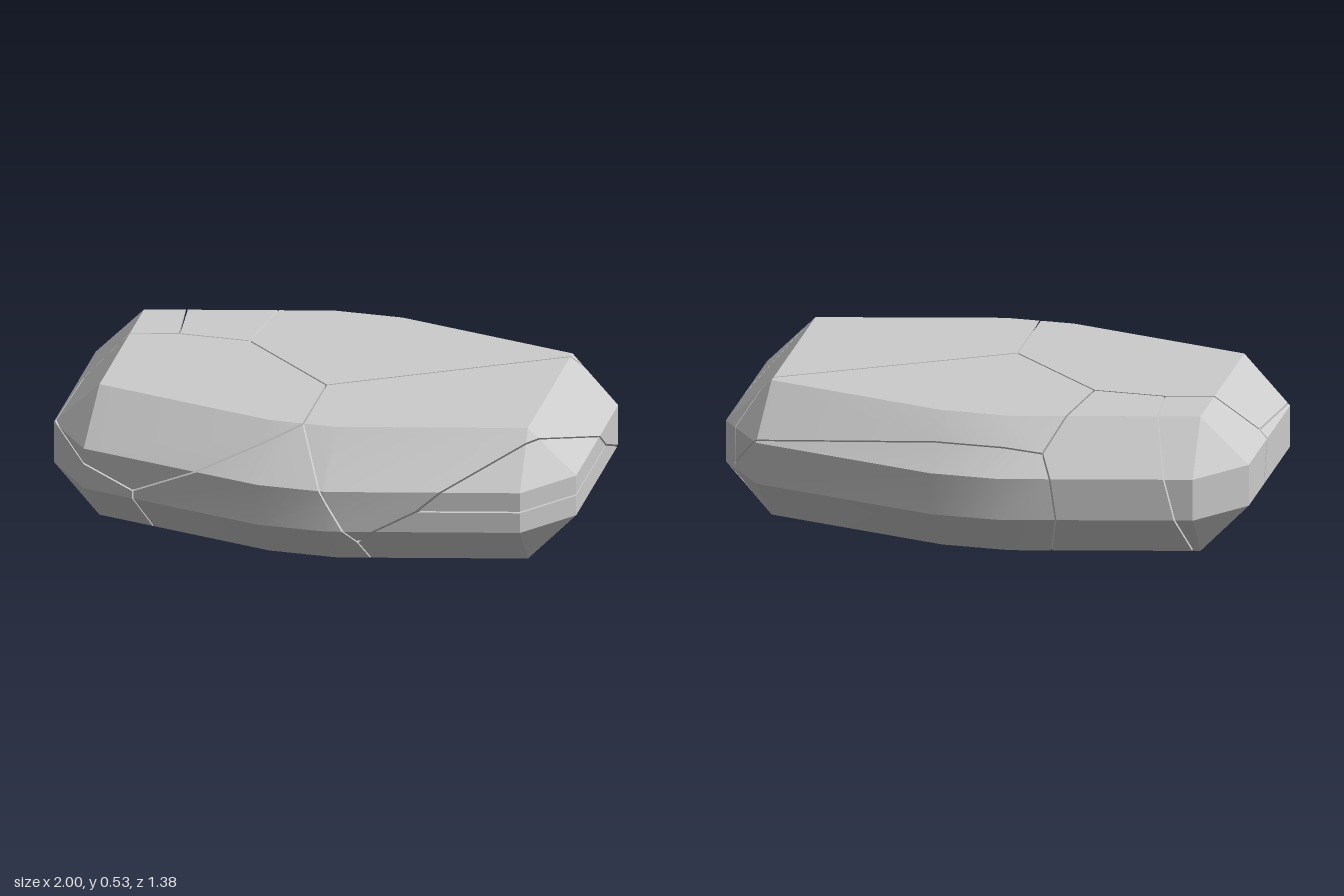
import * as THREE from 'three';
import { toCreasedNormals } from 'three/addons/utils/BufferGeometryUtils.js';

const HALF_GAP = 0.003;

// Each fragment owns the region where its linear field a*x + b*y + c*z + d is the largest.
const FRAGMENTS = {
  topFrontLeftFragment: [0, 0, 0, 0],
  topFrontRightFragment: [1, -0.1, 0, 0.053],
  topBackRightFragment: [0.6, -0.1, -0.705, 0.159],
  backMiddleFragment: [0, -0.35, -0.78, 0.057],
  backLeftFragment: [-0.174, -0.307, -0.76, -0.074],
  lowerBackFragment: [0.6, -0.44, -1.075, 0.087],
  lowerFrontFragment: [0.25, -0.505, 0.032, 0.252],
  lowerLeftFragment: [-0.167, -0.51, -0.043, 0.031],
  lowerRightFragment: [1.22, -0.444, 0.158, -0.052],
  rightWedgeFragment: [1.22, -0.304, 0.158, -0.09],
};

// Mirror one quarter outline into a full loop, front to +x to back to -x
function ring(quarter, y) {
  const right = [...quarter, ...quarter.map(([x, z]) => [x, -z]).reverse()];
  const loop = [...right, ...right.map(([x, z]) => [-x, z]).reverse()];
  return loop.map(([x, z]) => new THREE.Vector3(x, y, z));
}

// Drop repeated corners
function clean(points) {
  return points.filter((p, i) => p.distanceTo(points[(i + 1) % points.length]) > 1e-5);
}

// Whole stone: straight girdle with bevels to a smaller top and bottom
function stoneFaces() {
  const girdle = [[0.13, 0.692], [0.835, 0.53], [1, 0.325]];
  const flat = [[0.13, 0.505], [0.82, 0.345], [0.82, 0.345]];
  const rings = [ring(flat, 0), ring(girdle, 0.188), ring(girdle, 0.35), ring(flat, 0.533)];
  const faces = [clean(rings[3]), clean(rings[0]).reverse()];
  for (let r = 0; r < 3; r++) {
    const lo = rings[r], hi = rings[r + 1];
    for (let i = 0; i < lo.length; i++) {
      const j = (i + 1) % lo.length;
      const face = clean([lo[i], lo[j], hi[j], hi[i]]);
      if (face.length > 2) faces.push(face);
    }
  }
  return faces;
}

// Cut a convex solid, keep the part behind the plane and close the cut
function cut(faces, plane) {
  const kept = [], rim = [];
  for (const face of faces) {
    const out = [];
    face.forEach((p, i) => {
      const q = face[(i + 1) % face.length];
      const dp = plane.distanceToPoint(p), dq = plane.distanceToPoint(q);
      if (dp <= 0) out.push(p);
      if ((dp <= 0) !== (dq <= 0)) {
        const hit = p.clone().lerp(q, dp / (dp - dq));
        out.push(hit);
        rim.push(hit);
      }
    });
    const polygon = clean(out);
    if (polygon.length > 2) kept.push(polygon);
  }
  if (rim.length > 2) {
    const centre = rim.reduce((s, p) => s.add(p), new THREE.Vector3()).divideScalar(rim.length);
    const n = plane.normal;
    const helper = Math.abs(n.y) < 0.9 ? new THREE.Vector3(0, 1, 0) : new THREE.Vector3(1, 0, 0);
    const u = new THREE.Vector3().crossVectors(helper, n).normalize();
    const v = new THREE.Vector3().crossVectors(n, u);
    const angle = (p) => {
      const d = p.clone().sub(centre);
      return Math.atan2(d.dot(v), d.dot(u));
    };
    const cap = clean(rim.sort((a, b) => angle(a) - angle(b)));
    if (cap.length > 2) kept.push(cap);
  }
  return kept;
}

// Fan triangles, smooth over the gently bent sides and sharp at the bevels
function toGeometry(faces) {
  const positions = [];
  const tri = new THREE.Triangle();
  for (const f of faces) {
    for (let i = 1; i < f.length - 1; i++) {
      tri.set(f[0], f[i], f[i + 1]);
      if (tri.getArea() < 1e-8) continue;
      for (const p of [tri.a, tri.b, tri.c]) positions.push(p.x, p.y, p.z);
    }
  }
  const geometry = new THREE.BufferGeometry();
  geometry.setAttribute('position', new THREE.Float32BufferAttribute(positions, 3));
  return toCreasedNormals(geometry, 0.35);
}

export function createModel() {
  const group = new THREE.Group();
  group.name = 'crackedStone';
  const material = new THREE.MeshStandardMaterial({ color: 0xcccccc });

  // Split the stone into fragments separated by hairline gaps
  for (const [name, own] of Object.entries(FRAGMENTS)) {
    let faces = stoneFaces();
    for (const other of Object.values(FRAGMENTS)) {
      if (other === own) continue;
      const [a, b, c, d] = other.map((k, i) => k - own[i]);
      const plane = new THREE.Plane(new THREE.Vector3(a, b, c), d).normalize();
      plane.constant += HALF_GAP;
      faces = cut(faces, plane);
    }
    const mesh = new THREE.Mesh(toGeometry(faces), material);
    mesh.name = name;
    group.add(mesh);
  }
  return group;
}
